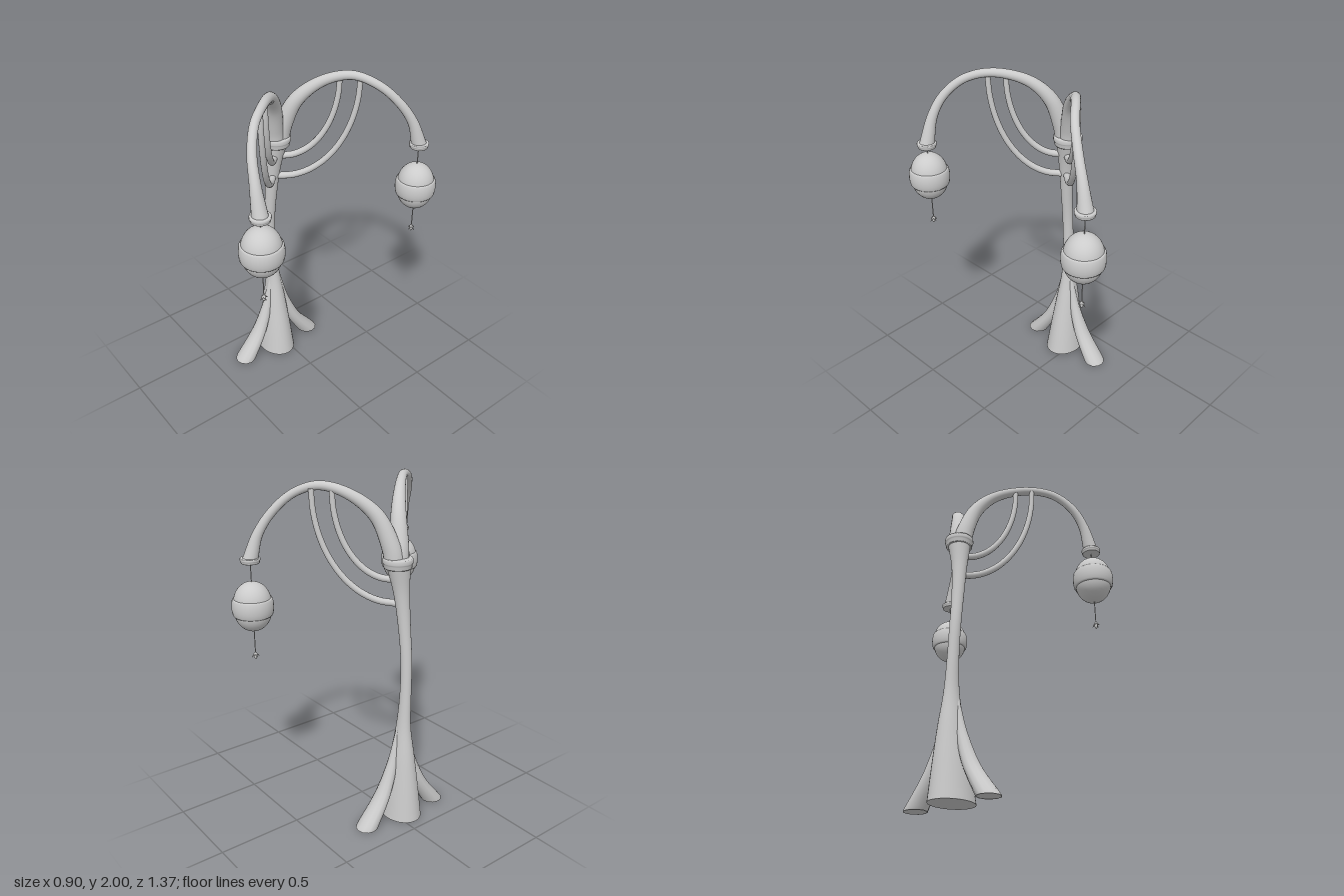
import * as THREE from 'three';

const V = (x, y, z) => new THREE.Vector3(x, y, z);
const grey = new THREE.MeshStandardMaterial({ color: 0xcccccc });

function part(name, geometry, x = 0, y = 0, z = 0) {
  const mesh = new THREE.Mesh(geometry, grey);
  mesh.name = name;
  mesh.position.set(x, y, z);
  return mesh;
}

// Skin a list of closed rings, with flat caps at both ends
function loft(rings) {
  const n = rings[0].length, pos = [], idx = [];
  rings.forEach(ring => ring.forEach(p => pos.push(p.x, p.y, p.z)));
  for (let i = 0; i < rings.length - 1; i++) {
    for (let j = 0; j < n; j++) {
      const k = (j + 1) % n;
      const a = i * n + j, b = i * n + k, c = b + n, d = a + n;
      idx.push(a, b, c, a, c, d);
    }
  }
  [rings[0], rings[rings.length - 1]].forEach((ring, end) => {
    const start = pos.length / 3;
    const mid = ring.reduce((s, p) => s.add(p), V(0, 0, 0)).divideScalar(n);
    [...ring, mid].forEach(p => pos.push(p.x, p.y, p.z));
    for (let j = 0; j < n; j++) {
      const k = (j + 1) % n;
      idx.push(start + n, start + (end ? j : k), start + (end ? k : j));
    }
  });
  const g = new THREE.BufferGeometry();
  g.setAttribute('position', new THREE.Float32BufferAttribute(pos, 3));
  g.setIndex(idx);
  g.computeVertexNormals();
  return g;
}

// Upright stem with level elliptical sections; keys are [x, y, z, rx, rz]
function stem(keys, sides, steps) {
  const centre = new THREE.CatmullRomCurve3(keys.map(k => V(k[0], k[1], k[2])), false, 'catmullrom');
  const radius = new THREE.CatmullRomCurve3(keys.map(k => V(k[3], 0, k[4])), false, 'catmullrom');
  const rings = [];
  for (let i = 0; i <= steps; i++) {
    const c = centre.getPoint(i / steps), r = radius.getPoint(i / steps);
    rings.push(Array.from({ length: sides }, (_, j) => {
      const a = j / sides * Math.PI * 2;
      return V(c.x + r.x * Math.cos(a), c.y, c.z - r.z * Math.sin(a));
    }));
  }
  return loft(rings);
}

// Round tube whose radius varies along its path; keys are [x, y, z, r]
function taperedTube(keys, sides, steps) {
  const path = new THREE.CatmullRomCurve3(keys.map(k => V(k[0], k[1], k[2])), false, 'catmullrom');
  const radius = new THREE.CatmullRomCurve3(keys.map(k => V(k[3], 0, 0)), false, 'catmullrom');
  const { normals, binormals } = path.computeFrenetFrames(steps);
  const rings = [];
  for (let i = 0; i <= steps; i++) {
    const c = path.getPointAt(i / steps);
    const r = radius.getPoint(path.getUtoTmapping(i / steps)).x;
    rings.push(Array.from({ length: sides }, (_, j) => {
      const a = j / sides * Math.PI * 2;
      return c.clone().addScaledVector(normals[i], r * Math.cos(a)).addScaledVector(binormals[i], r * Math.sin(a));
    }));
  }
  return loft(rings);
}

const lathe = (pts, segs) => new THREE.LatheGeometry(pts.map(p => new THREE.Vector2(p[0], p[1])), segs);

// Collar with a rounded rim, standing on its own y = 0
const collar = (r, h) => lathe([[0, 0], [r * 0.88, 0], [r * 0.92, h * 0.08], [r * 0.93, h * 0.4],
  [r * 0.98, h * 0.48], [r, h * 0.6], [r, h * 0.85], [r * 0.96, h], [r * 0.6, h], [0, h]], 32);

// Dome cap from an equator radius r up (or down) by h
function dome(r, h, down) {
  const pts = [];
  for (let i = 0; i <= 12; i++) {
    const a = i / 12 * Math.PI / 2;
    pts.push(down ? [r * Math.sin(a), -h * Math.cos(a)] : [r * Math.cos(a), h * Math.sin(a)]);
  }
  return lathe(pts, 32);
}

// Hanging lantern: cord, two domes, bulging band and a leafy pendant
function lantern(x, topY, z, midY) {
  const g = new THREE.Group();
  g.name = 'lantern';
  g.position.set(x, midY, z);
  const pendantY = -0.295, top = topY - midY;
  g.add(part('cord', new THREE.CylinderGeometry(0.003, 0.003, top - pendantY, 6), 0, (top + pendantY) / 2, 0));
  g.add(part('upperDome', dome(0.106, 0.118, false), 0, 0.025, 0));
  g.add(part('lowerDome', dome(0.104, 0.113, true), 0, -0.03, 0));
  g.add(part('band', lathe([[0.098, -0.05], [0.108, -0.05], [0.113, -0.042], [0.117, -0.02], [0.118, 0],
    [0.117, 0.02], [0.113, 0.042], [0.108, 0.05], [0.098, 0.05]], 32)));
  g.add(part('pendantBud', lathe([[0, -0.026], [0.006, -0.02], [0.01, -0.008], [0.007, 0.01], [0, 0.03]], 8), 0, pendantY, 0));
  for (let i = 0; i < 4; i++) {
    const leaf = new THREE.Group();
    leaf.name = 'pendantLeaf';
    leaf.position.y = pendantY + 0.006;
    leaf.rotation.y = i * Math.PI / 2;
    const blade = part('leafBlade', new THREE.ConeGeometry(0.008, 0.03, 6), 0.014, -0.006, 0);
    blade.rotation.z = -Math.PI * 0.72;
    leaf.add(blade);
    g.add(leaf);
  }
  return g;
}

// Curved brace from the trunk (a) sweeping out and up to the arm (b)
function brace(a, b) {
  const g = new THREE.Group();
  g.name = 'brace';
  const keys = [];
  for (let i = 0; i <= 8; i++) {
    const t = i / 8 * Math.PI / 2, u = Math.sin(t), v = 1 - Math.cos(t);
    keys.push([a[0] + (b[0] - a[0]) * u, a[1] + (b[1] - a[1]) * v, a[2] + (b[2] - a[2]) * u, 0.02 - 0.005 * i / 8]);
  }
  g.add(part('braceRod', taperedTube(keys, 12, 32)));
  g.add(part('braceTip', new THREE.SphereGeometry(0.02, 12, 8), ...a));
  return g;
}

export function createModel() {
  const model = new THREE.Group();
  model.name = 'streetLamp';

  // Trunk, widening into the base
  model.add(part('trunk', stem([
    [-0.31, 0.005, 0.055, 0.139, 0.111], [-0.315, 0.2, 0.053, 0.112, 0.09], [-0.321, 0.4, 0.051, 0.08, 0.066],
    [-0.324, 0.6, 0.052, 0.047, 0.04], [-0.326, 0.8, 0.06, 0.035, 0.032], [-0.32, 1.0, 0.066, 0.033, 0.032],
    [-0.301, 1.2, 0.063, 0.036, 0.035], [-0.282, 1.4, 0.053, 0.045, 0.046], [-0.268, 1.57, 0.036, 0.069, 0.069],
  ], 28, 48)));
  model.add(part('trunkCollar', collar(0.084, 0.057), -0.268, 1.541, 0.035));

  // Splayed side roots
  for (const s of [1, -1]) {
    const root = [[0.005, 0.256, 0.062, 0.062], [0.02, 0.247, 0.066, 0.064], [0.18, 0.141, 0.051, 0.046],
      [0.36, 0.07, 0.033, 0.033], [0.5, 0.037, 0.021, 0.024], [0.64, 0.012, 0.01, 0.014]]
      .map(([y, out, rx, rz]) => [-0.312, y, 0.049 + s * out, rx, rz]);
    model.add(part('sideRoot', stem(root, 12, 24)));
  }

  // Two arms, each with braces, an end collar and a lantern
  const radii = [0.056, 0.052, 0.042, 0.031, 0.025, 0.024, 0.025, 0.029, 0.043];
  const arms = [
    {
      path: [[-0.26, 1.55, 0.05], [-0.245, 1.66, 0.062], [-0.19, 1.82, 0.1], [-0.1, 1.93, 0.185], [0.025, 1.975, 0.315],
        [0.125, 1.94, 0.44], [0.215, 1.85, 0.52], [0.283, 1.73, 0.555], [0.33, 1.57, 0.566]],
      braces: [[[-0.26, 1.34, 0.075], [0.045, 1.965, 0.35]], [[-0.245, 1.475, 0.07], [-0.02, 1.96, 0.275]]],
      lamp: [0.331, 0.566], midY: 1.372,
    },
    {
      path: [[-0.26, 1.55, 0.02], [-0.245, 1.66, 0.003], [-0.19, 1.82, -0.05], [-0.1, 1.93, -0.155], [0.018, 1.975, -0.265],
        [0.13, 1.93, -0.36], [0.205, 1.83, -0.45], [0.248, 1.71, -0.52], [0.268, 1.57, -0.563]],
      braces: [[[-0.26, 1.34, 0.03], [0.045, 1.96, -0.305]], [[-0.245, 1.475, 0.015], [-0.035, 1.955, -0.228]]],
      lamp: [0.269, -0.563], midY: 1.304,
    },
  ];
  for (const { path, braces, lamp: [x, z], midY } of arms) {
    const arm = new THREE.Group();
    arm.name = 'arm';
    arm.add(part('armTube', taperedTube(path.map((p, i) => [...p, radii[i]]), 20, 64)));
    arm.add(part('armEndCollar', collar(0.056, 0.03), x, 1.553, z));
    braces.forEach(([a, b]) => arm.add(brace(a, b)));
    arm.add(lantern(x, 1.565, z, midY));
    model.add(arm);
  }
  return model;
}
